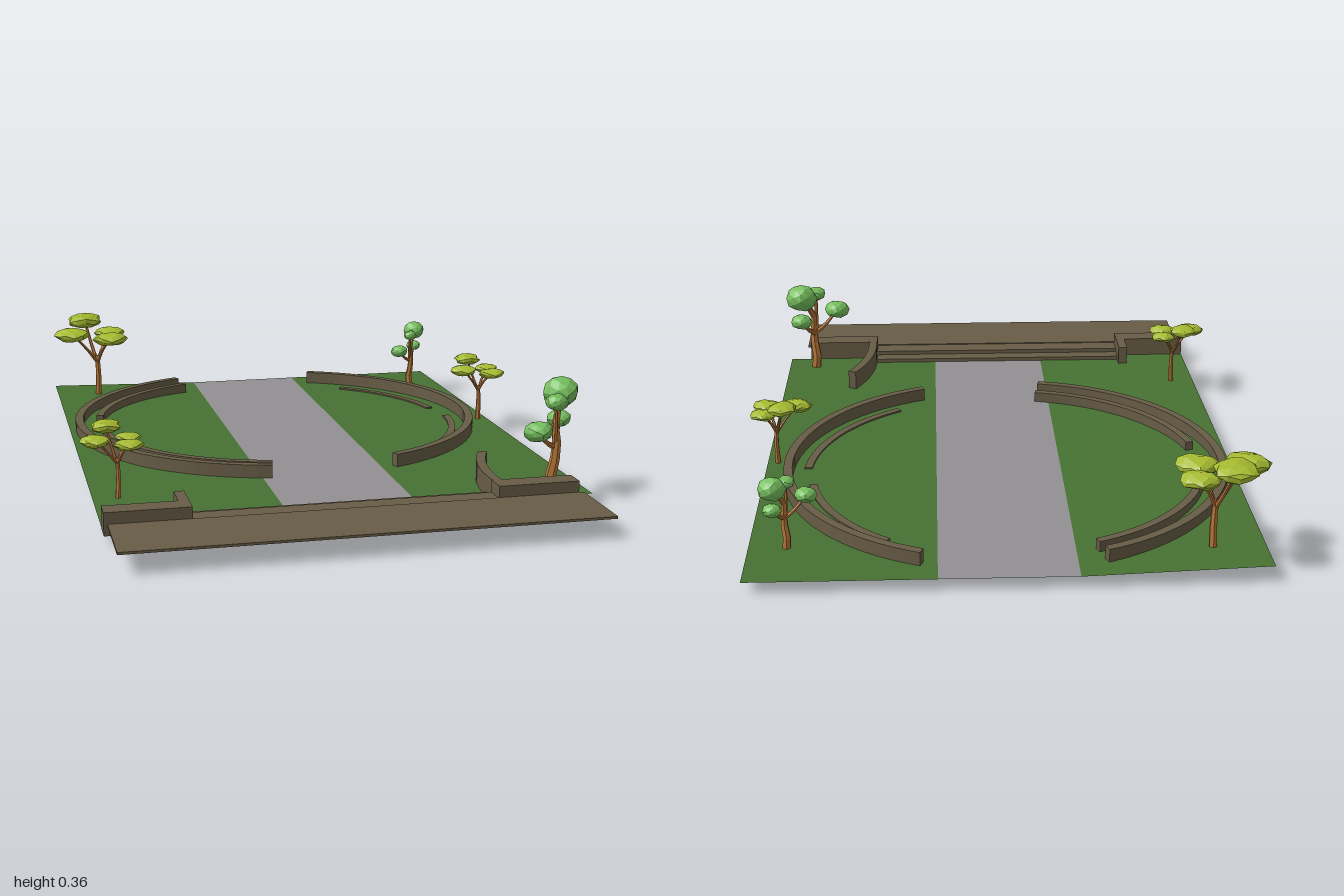
import * as THREE from 'three';

const mat = (name, color, extra = {}) => {
  const m = new THREE.MeshStandardMaterial({ color, ...extra });
  m.name = name;
  return m;
};

export function createModel() {
  const root = new THREE.Group();
  const grass = mat('grass green', 0x477233, { side: THREE.DoubleSide });
  const paving = mat('path grey', 0x929092, { side: THREE.DoubleSide });
  const stone = mat('stone brown', 0x675c46);
  const bark = mat('bark orange brown', 0xb8783a, { flatShading: true });
  const lime = mat('lime leaves', 0xa5ba30, { flatShading: true });
  const green = mat('green leaves', 0x74bd5c, { flatShading: true });

  const add = (parent, name, geo, material) => {
    const m = new THREE.Mesh(geo, material);
    m.name = name;
    parent.add(m);
    return m;
  };

  // Flat four-cornered ground sheets, corners anticlockwise from above
  const sheet = (name, c, material) => {
    const g = new THREE.BufferGeometry();
    g.setAttribute('position', new THREE.Float32BufferAttribute(c.flat(), 3));
    g.setIndex([0, 1, 2, 0, 2, 3]);
    g.computeVertexNormals();
    add(root, name, g, material);
  };
  const G = 0.035;
  sheet('lawnRight', [[-0.72, G, 0.7], [-0.2, G, 0.7], [-0.2, G, -1], [-0.72, 0.05, -0.99]], grass);
  sheet('lawnLeft', [[0.18, G, 0.7], [0.7, G, 0.7], [0.7, G, -1], [0.18, G, -1]], grass);
  sheet('path', [[-0.2, G, 0.7], [0.18, G, 0.7], [0.18, G, -1], [-0.2, G, -1]], paving);

  // Box given by its limits on each axis
  const box = (name, x0, x1, y0, y1, z0, z1) =>
    add(root, name, new THREE.BoxGeometry(x1 - x0, y1 - y0, z1 - z0), stone)
      .position.set((x0 + x1) / 2, (y0 + y1) / 2, (z0 + z1) / 2);

  // Front terrace, steps and end walls
  box('terrace', -0.71, 0.645, 0.056, 0.063, 0.765, 1);
  box('upperStep', -0.49, 0.4, 0.034, 0.06, 0.7, 0.767);
  box('lowerStep', -0.48, 0.39, 0.034, 0.047, 0.652, 0.7);
  box('endWallRight', -0.72, -0.48, 0.03, 0.096, 0.7, 0.765);
  box('returnWallRight', -0.51, -0.48, 0.03, 0.096, 0.61, 0.7);
  box('endWallLeft', 0.39, 0.63, 0.03, 0.096, 0.7, 0.765);

  // Curved wall: centre, middle radius, width, angles in degrees, bottom and top
  const arcWall = (name, cx, cz, r, w, a0, a1, y0, y1) => {
    const s = new THREE.Shape();
    const p = THREE.MathUtils.degToRad(a0), q = THREE.MathUtils.degToRad(a1);
    s.absarc(cx, cz, r + w / 2, p, q, false);
    s.absarc(cx, cz, r - w / 2, q, p, true);
    const g = new THREE.ExtrudeGeometry(s, { depth: y1 - y0, bevelEnabled: false, curveSegments: 18 });
    g.rotateX(Math.PI / 2).translate(0, y1, 0);
    add(root, name, g, stone);
  };
  arcWall('returnWallLeft', 0.98, 0.66, 0.575, 0.028, 176, 207, 0.03, 0.096);
  arcWall('outerWallRight', -0.04, -0.31, 0.648, 0.026, 101.5, 248.5, 0.033, 0.075);
  arcWall('outerWallLeft', -0.02, -0.31, 0.648, 0.026, -68, 68, 0.033, 0.075);
  arcWall('frontBenchRight', -0.04, -0.31, 0.585, 0.024, 101.5, 168, 0.022, 0.067);
  arcWall('backBenchRight', -0.04, -0.31, 0.583, 0.024, 191.5, 248, 0.033, 0.067);
  arcWall('frontBenchLeft', -0.02, -0.31, 0.592, 0.024, 3, 57, 0, 0.04);
  arcWall('backBenchLeft', -0.02, -0.31, 0.575, 0.024, -54, -9, 0, 0.04);

  // Low-poly leaf clump, roughened by a rule on vertex position
  const clump = (parent, [x, y, z, r], flat, rough, material) => {
    const g = new THREE.IcosahedronGeometry(1, 1);
    const p = g.attributes.position, v = new THREE.Vector3();
    for (let i = 0; i < p.count; i++) {
      v.fromBufferAttribute(p, i);
      v.multiplyScalar(1 + rough * Math.sin(v.x * 7 + v.y * 11 + v.z * 5 + x * 60));
      p.setXYZ(i, v.x * r, v.y * r * flat, v.z * r);
    }
    g.computeVertexNormals();
    add(parent, 'leafClump', g, material).position.set(x, y, z);
  };

  // Tapered limb along a smooth curve
  const limb = (parent, name, pts, r0, r1) => {
    const curve = new THREE.CatmullRomCurve3(pts.map(a => new THREE.Vector3(...a)));
    const n = 6, sides = 6;
    const g = new THREE.TubeGeometry(curve, n, 1, sides, false);
    const p = g.attributes.position, v = new THREE.Vector3(), c = new THREE.Vector3();
    for (let i = 0; i < p.count; i++) {
      const t = Math.floor(i / (sides + 1)) / n;
      curve.getPointAt(t, c);
      v.fromBufferAttribute(p, i).sub(c).multiplyScalar(r0 + (r1 - r0) * t).add(c);
      p.setXYZ(i, v.x, v.y, v.z);
    }
    g.computeVertexNormals();
    add(parent, name, g, bark);
  };

  // Flat-topped tree
  const flatTree = (x, y, z, s) => {
    const t = new THREE.Group();
    t.name = 'flatTree';
    limb(t, 'trunk', [[0, 0, 0], [0.002, 0.06, 0], [0, 0.12, 0]], 0.009, 0.006);
    const tops = [[-0.025, 0.2, -0.053, 0.043], [0.037, 0.17, -0.027, 0.037],
      [-0.062, 0.178, 0.028, 0.043], [0.03, 0.168, 0.05, 0.041]];
    for (const c of tops) {
      limb(t, 'branch', [[0, 0.1, 0], [c[0] * 0.4, 0.135, c[2] * 0.4], [c[0], c[1], c[2]]], 0.005, 0.003);
      clump(t, c, 0.4, 0.13, lime);
    }
    t.position.set(x, y, z);
    t.scale.setScalar(s);
    root.add(t);
  };
  flatTree(-0.575, 0.02, -0.855, 1.42);
  flatTree(-0.645, 0.035, 0.435, 1);
  flatTree(0.668, 0.035, -0.225, 1);

  // Round-headed tree with a winding trunk
  const roundTree = (x, y, z, s) => {
    const t = new THREE.Group();
    t.name = 'roundTree';
    limb(t, 'trunk', [[0, 0, 0], [-0.005, 0.06, -0.005], [0.006, 0.12, 0.006], [0, 0.19, 0],
      [0.035, 0.27, -0.05]], 0.018, 0.008);
    const tops = [[0.038, 0.28, -0.058, 0.052], [-0.007, 0.27, 0.02, 0.034],
      [-0.077, 0.197, 0.065, 0.042], [0.04, 0.197, -0.07, 0.036]];
    tops.forEach((c, i) => {
      if (i) limb(t, 'branch', [[0, 0.13, 0], [c[0] * 0.5, 0.155, c[2] * 0.5], [c[0], c[1], c[2]]], 0.009, 0.005);
      clump(t, c, i ? 0.72 : 0.88, 0.07, green);
    });
    t.position.set(x, y, z);
    t.scale.setScalar(s);
    root.add(t);
  };
  roundTree(0.607, 0.03, 0.625, 1);
  roundTree(0.595, 0.03, -0.8, 0.72);

  return root;
}
